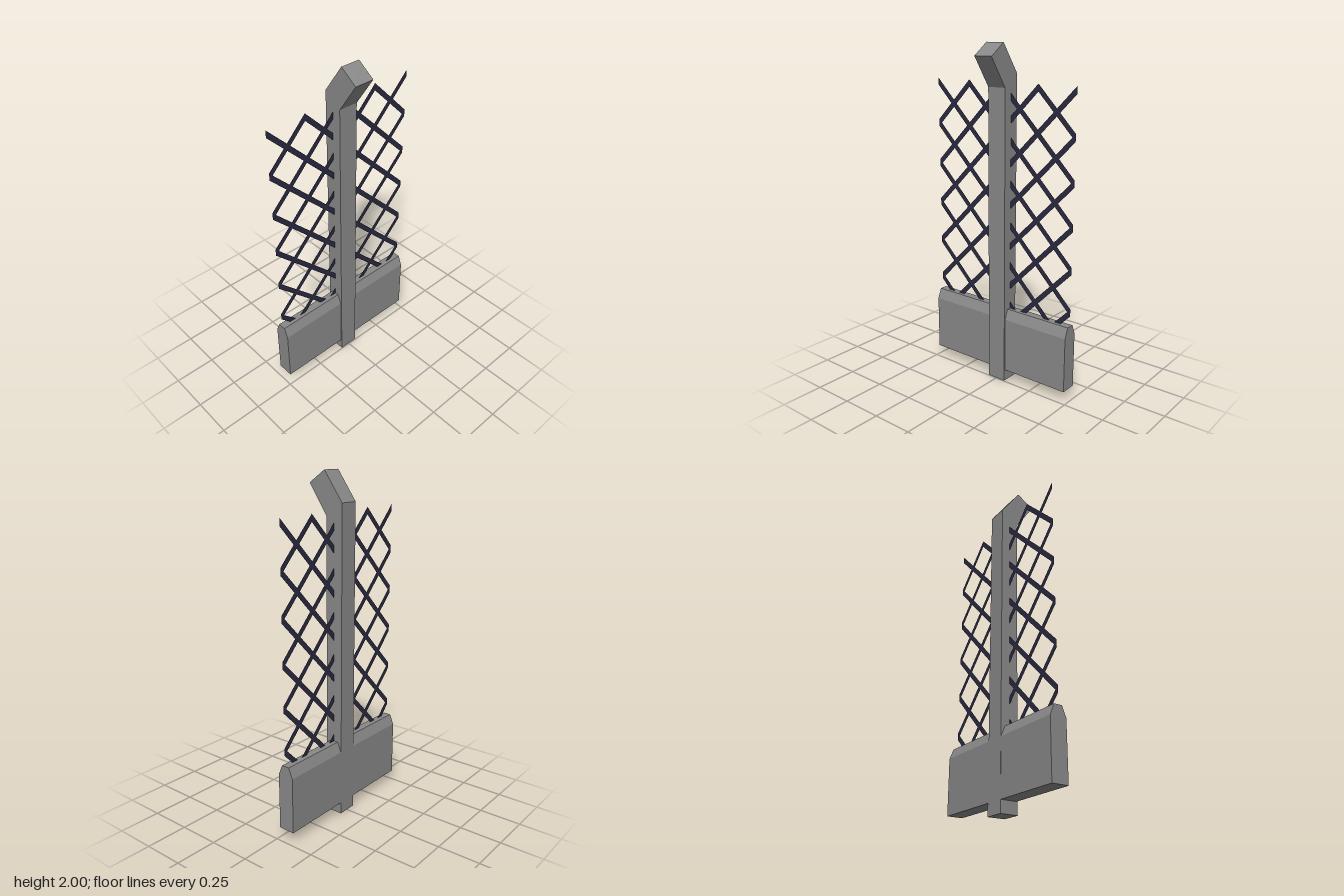
import * as THREE from 'three';

const concrete = new THREE.MeshStandardMaterial({ color: 0x888888, flatShading: true });
const wire = new THREE.MeshStandardMaterial({ color: 0x2a2940, side: THREE.DoubleSide });

// Extrude a side profile of [z, y] points along x, centred on x = 0
function sideExtrude(name, profile, width) {
  const shape = new THREE.Shape(profile.map(([z, y]) => new THREE.Vector2(-z, y)));
  const geo = new THREE.ExtrudeGeometry(shape, { depth: width, bevelEnabled: false });
  geo.translate(0, 0, -width / 2);
  geo.rotateY(Math.PI / 2);
  const mesh = new THREE.Mesh(geo, concrete);
  mesh.name = name;
  return mesh;
}

// Flat wire between two nodes, with upright ends so neighbours join cleanly
function strand(x0, y0, x1, y1) {
  const h = 0.021;
  return new THREE.Shape([
    new THREE.Vector2(x0, y0 - h), new THREE.Vector2(x1, y1 - h),
    new THREE.Vector2(x1, y1 + h), new THREE.Vector2(x0, y0 + h),
  ]);
}

export function createModel() {
  const model = new THREE.Group();
  model.name = 'fenceSection';

  // Post with its top bent forward
  model.add(sideExtrude('post', [
    [-0.111, 0], [-0.005, 0], [-0.005, 1.76], [0.111, 1.93], [0.009, 2], [-0.111, 1.833],
  ], 0.118));

  // Concrete base panel with a chamfered top, almost flush with the back of the post
  model.add(sideExtrude('basePanel', [
    [-0.11, 0.07], [-0.012, 0.07], [-0.012, 0.4], [-0.037, 0.46], [-0.085, 0.46], [-0.11, 0.4],
  ], 0.968));

  // Diamond wire mesh: two crossing strands in each cell
  const cellW = 0.242, cellH = 0.245, top = 1.768;
  const strands = [];
  for (let col = -2; col < 2; col++) {
    for (let row = 0; row < 6; row++) {
      const x0 = col * cellW, x1 = x0 + cellW;
      const y1 = top - row * cellH, y0 = y1 - cellH;
      strands.push(strand(x0, y0, x1, y1), strand(x0, y1, x1, y0));
    }
  }
  const mesh = new THREE.Mesh(new THREE.ShapeGeometry(strands), wire);
  mesh.name = 'wireMesh';
  mesh.position.z = -0.058;
  model.add(mesh);

  return model;
}
